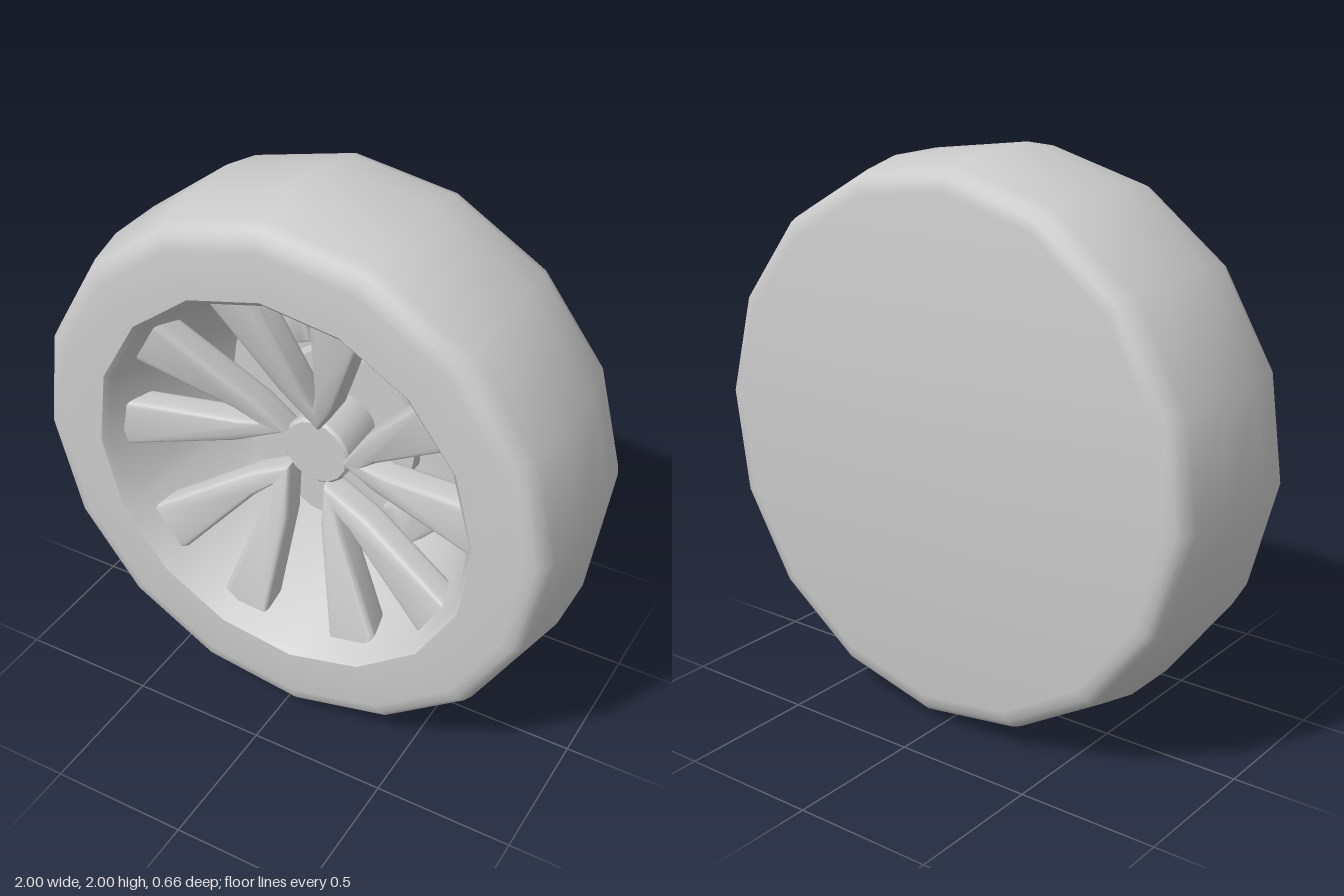
import * as THREE from 'three';
import { toCreasedNormals } from 'three/addons/utils/BufferGeometryUtils.js';

const SIDES = 16;
const rad = THREE.MathUtils.degToRad;

export function createModel() {
  const group = new THREE.Group();
  const grey = new THREE.MeshStandardMaterial({ color: 0xcccccc });

  function add(name, geometry, crease = 35) {
    const mesh = new THREE.Mesh(toCreasedNormals(geometry, rad(crease)), grey);
    mesh.name = name;
    mesh.position.y = 1;
    group.add(mesh);
    return mesh;
  }

  // Turned part around the z axle; profile is [radius, z]
  function turned(name, profile, crease) {
    const g = new THREE.LatheGeometry(profile.map(([r, z]) => new THREE.Vector2(r, z)), SIDES);
    g.rotateX(Math.PI / 2);
    g.rotateZ(rad(3.4));
    return add(name, g, crease);
  }

  // Tyre with closed back, open front and tapering barrel
  turned('tyreAndBarrel', [
    [0, -0.33], [0.89, -0.33], [0.93, -0.322], [0.955, -0.3], [0.97, -0.26], [1, -0.11],
    [1, 0.11], [0.97, 0.26], [0.955, 0.3], [0.93, 0.322], [0.89, 0.33],
    [0.72, 0.33], [0.7, 0.31], [0.52, -0.24], [0, -0.24],
  ], 40);

  // Brake disc and its raised centre
  turned('brakeDisc', [[0.5, -0.24], [0.5, -0.18], [0, -0.18]]);
  turned('discCentre', [[0.3, -0.18], [0.29, -0.13], [0, -0.13]]);

  // Axle hub that carries the spokes
  turned('hub', [[0.13, -0.14], [0.13, 0.06], [0.12, 0.07], [0, 0.07]]);

  // Brake calipers: bevelled arc blocks over the disc
  function caliper(name, r0, r1, from, to) {
    const s = new THREE.Shape();
    s.absarc(0, 0, r1, rad(from), rad(to), false);
    s.absarc(0, 0, r0, rad(to), rad(from), true);
    const g = new THREE.ExtrudeGeometry(s, {
      depth: 0.1, curveSegments: 5, bevelSize: 0.015, bevelThickness: 0.02, bevelSegments: 2,
    });
    g.translate(0, 0, -0.19);
    add(name, g, 40);
  }
  caliper('caliperRight', 0.34, 0.48, -52, 14);
  caliper('caliperUpper', 0.36, 0.49, 108, 140);

  // Five V-shaped double spokes, leaning forward towards the rim
  const outline = [
    [0.03, 0.135], [0.1, 0.24], [0.28, 0.64], [0.255, 0.665], [0.13, 0.675], [0.11, 0.65],
    [0.065, 0.3], [0.03, 0.2], [-0.01, 0.28], [-0.12, 0.66], [-0.14, 0.675], [-0.265, 0.665],
    [-0.28, 0.64], [-0.08, 0.28],
  ].map(([x, y]) => new THREE.Vector2(x, y));
  for (let i = 0; i < 5; i++) {
    const g = new THREE.ExtrudeGeometry(new THREE.Shape(outline), {
      depth: 0.06, bevelSize: 0.015, bevelThickness: 0.025, bevelSegments: 3,
    });
    const p = g.attributes.position;
    for (let j = 0; j < p.count; j++) {
      const r = Math.hypot(p.getX(j), p.getY(j));
      p.setZ(j, p.getZ(j) + 0.02 + (r - 0.13) * 0.26);
    }
    g.rotateZ(rad(2 + 72 * i));
    add('spokePair' + (i + 1), g, 40);
  }

  return group;
}
